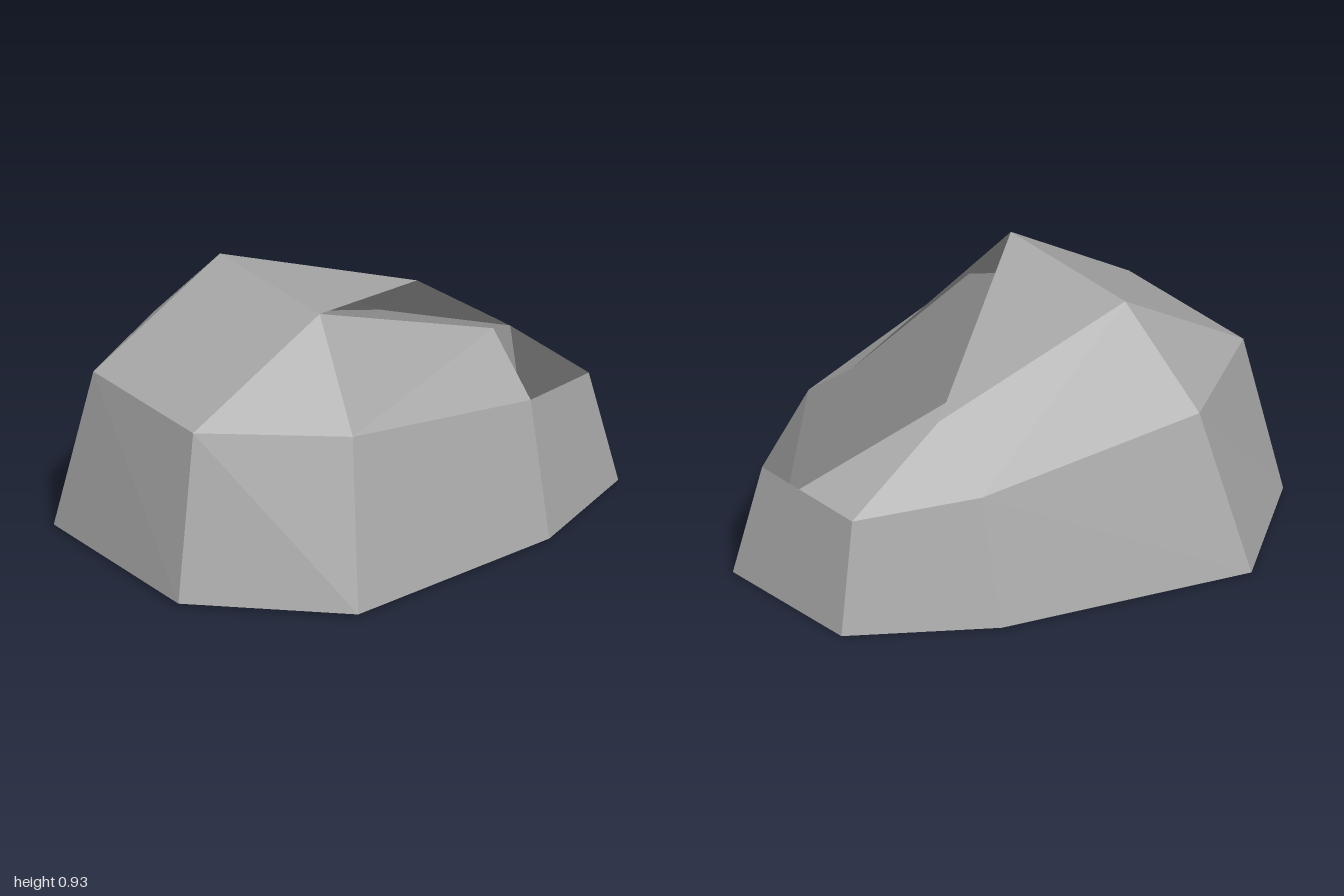
import * as THREE from 'three';

// Corner rings, counterclockwise from the front as seen from above
const base = [
  [-0.02, 0.012, 1.0], [0.58, 0.01, 0.79], [0.86, 0.005, -0.12], [0.83, 0.0, -0.70],
  [0.30, 0.0, -1.0], [-0.20, 0.004, -0.74], [-0.86, 0.008, -0.04], [-0.73, 0.01, 0.58],
];
const rim = [
  [-0.04, 0.6, 0.85], [0.47, 0.6, 0.62], [0.75, 0.485, -0.19], [0.74, 0.41, -0.65],
  [0.30, 0.405, -0.90], [-0.10, 0.47, -0.68], [-0.66, 0.595, -0.03], [-0.60, 0.6, 0.53],
];
const peakLeft = [-0.34, 0.925, 0.07];
const peakRight = [0.22, 0.93, 0.39];
const backRidge = [0.11, 0.67, -0.56];
const brokenTip = [0.54, 0.67, -0.31];

// Flat-shaded mesh from polygons, each fanned from its first corner
function facets(name, polygons, material) {
  const points = [];
  for (const p of polygons) {
    for (let i = 1; i < p.length - 1; i++) points.push(...p[0], ...p[i], ...p[i + 1]);
  }
  const geometry = new THREE.BufferGeometry();
  geometry.setAttribute('position', new THREE.Float32BufferAttribute(points, 3));
  geometry.computeVertexNormals();
  const mesh = new THREE.Mesh(geometry, material);
  mesh.name = name;
  return mesh;
}

export function createModel() {
  const group = new THREE.Group();
  group.name = 'hollowRock';
  const stone = new THREE.MeshStandardMaterial({
    color: 0xaaaaaa, flatShading: true, side: THREE.DoubleSide,
  });
  stone.name = 'grey stone';

  // Sloping side walls between the two rings
  const walls = base.map((b, i) => {
    const j = (i + 1) % base.length;
    return i === 1 ? [b, base[j], rim[j], rim[i]] : [base[j], rim[j], rim[i], b];
  });
  group.add(facets('sideWalls', walls, stone));

  // Upper facets, leaving the back right open
  group.add(facets('upperFacets', [
    [rim[7], rim[0], peakRight, peakLeft],
    [rim[0], rim[1], peakRight],
    [rim[1], brokenTip, peakRight],
    [rim[1], rim[2], brokenTip],
    [peakLeft, peakRight, backRidge],
    [backRidge, rim[4], rim[5]],
    [peakLeft, backRidge, rim[5]],
    [peakLeft, rim[5], rim[6]],
    [peakLeft, rim[6], rim[7]],
  ], stone));

  // Flat underside, also the floor inside the opening
  group.add(facets('underside', [[...base].reverse()], stone));
  return group;
}
